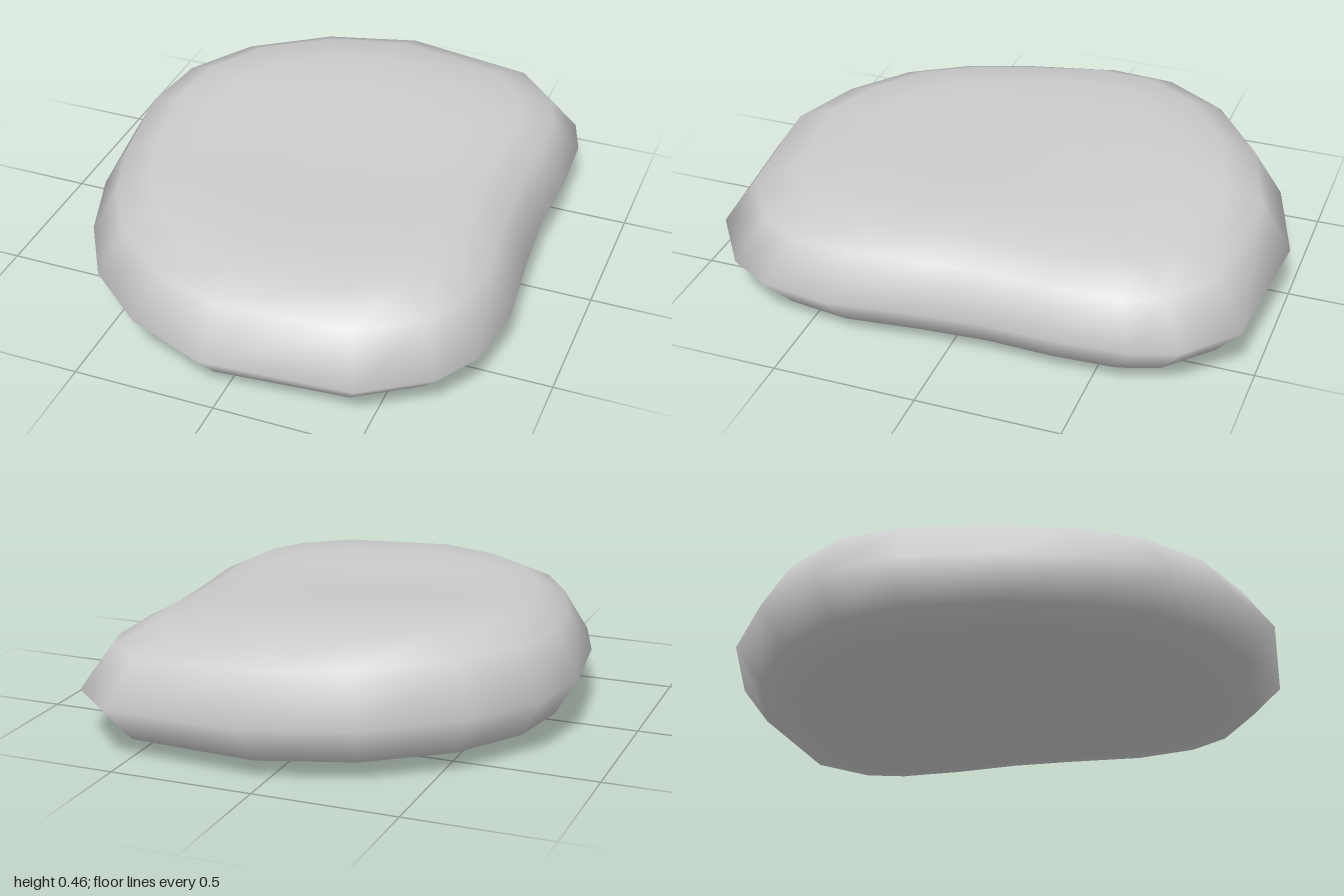
import * as THREE from 'three';

// Widest outline of the stone as x, z pairs, clockwise from the back
const OUTLINE = [
  [0.04, -1], [0.55, -0.96], [0.72, -0.8], [0.77, -0.65], [0.78, -0.4],
  [0.77, -0.15], [0.785, 0.1], [0.815, 0.4], [0.78, 0.64], [0.69, 0.79],
  [0.465, 0.945], [-0.05, 0.995], [-0.33, 0.89], [-0.55, 0.71], [-0.685, 0.48],
  [-0.77, 0.22], [-0.82, -0.14], [-0.77, -0.41], [-0.605, -0.67], [-0.315, -0.885],
];

// Rings from bottom to top: outline scale, height (-1 base, 0 rim, 1 crown)
const RINGS = [
  [0.2, -0.995], [0.45, -0.97], [0.72, -0.885], [0.9, -0.66],
  [1, 0],
  [0.89, 0.66], [0.75, 0.91], [0.58, 0.985], [0.4, 1], [0.2, 1],
];

// Gently tilted rim and a crown that swells towards the back left
const rimHeight = (x, z) => 0.19 - 0.02 * x - 0.017 * z;
function crownHeight(x, z) {
  const swell = THREE.MathUtils.smoothstep(-z, -0.2, 0.5);
  const fade = Math.max(0, 1 - 1.4 * Math.max(0, x));
  return 0.41 - 0.02 * x + 0.048 * swell * fade;
}

function stoneGeometry() {
  const n = OUTLINE.length;
  const positions = [];
  const index = [];

  for (const [scale, h] of RINGS) {
    for (const [ox, oz] of OUTLINE) {
      const x = ox * scale, z = oz * scale;
      const rim = rimHeight(ox, oz);
      const y = h < 0 ? rim * (1 + h) : rim + (crownHeight(x, z) - rim) * h;
      positions.push(x, y, z);
    }
  }

  // Walls between neighbouring rings
  for (let j = 0; j < RINGS.length - 1; j++) {
    for (let i = 0; i < n; i++) {
      const a = j * n + i, b = j * n + (i + 1) % n;
      index.push(a, a + n, b, b, a + n, b + n);
    }
  }

  // Close the underside and the crown
  const bottom = RINGS.length * n, top = bottom + 1, last = bottom - n;
  positions.push(0, 0, 0, 0, crownHeight(0, 0), 0);
  for (let i = 0; i < n; i++) {
    const k = (i + 1) % n;
    index.push(bottom, i, k, top, last + k, last + i);
  }

  const geometry = new THREE.BufferGeometry();
  geometry.setAttribute('position', new THREE.Float32BufferAttribute(positions, 3));
  geometry.setIndex(index);
  geometry.computeVertexNormals();
  return geometry;
}

export function createModel() {
  const model = new THREE.Group();
  model.name = 'pebble';
  const stone = new THREE.Mesh(stoneGeometry(), new THREE.MeshStandardMaterial({ color: 0xcccccc }));
  stone.name = 'stone';
  model.add(stone);
  return model;
}
